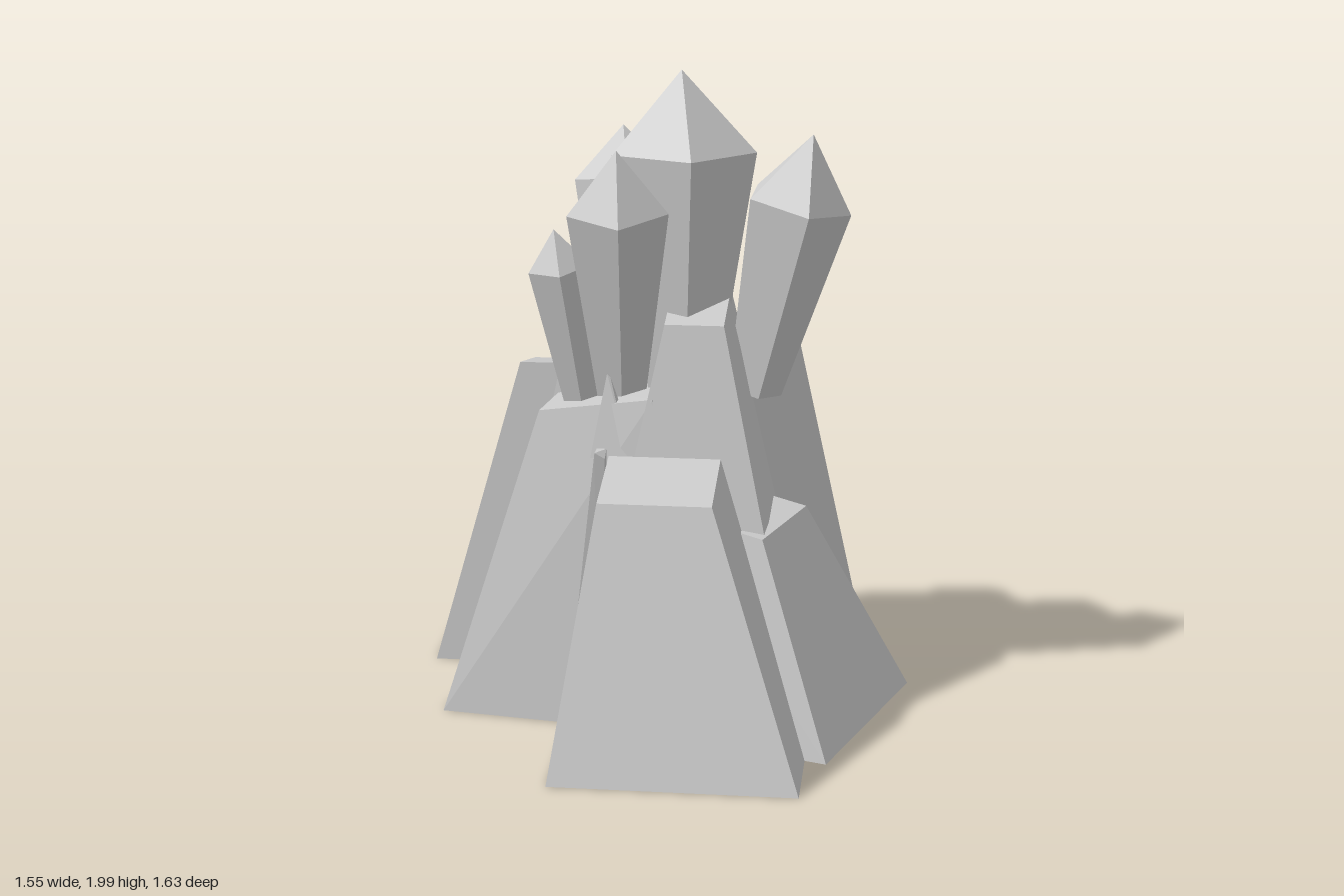
import * as THREE from 'three';
import { ConvexGeometry } from 'three/addons/geometries/ConvexGeometry.js';

const material = new THREE.MeshStandardMaterial({ color: 0xcccccc, flatShading: true });

// Tapered block: four ground corners [x, z] and four upper corners [x, y, z]
function taperedBlock(name, base, top, baseY = 0.01) {
  const points = [
    ...base.map(([x, z]) => new THREE.Vector3(x, baseY, z)),
    ...top.map((p) => new THREE.Vector3(...p)),
  ];
  const mesh = new THREE.Mesh(new ConvexGeometry(points), material);
  mesh.name = name;
  return mesh;
}

// Corners of an axis-aligned rectangle
const rect = (x0, x1, z0, z1) => [[x0, z0], [x1, z0], [x1, z1], [x0, z1]];

// Same rectangle as a top face, sloping from yBack to yFront
const slopedTop = (x0, x1, z0, z1, yBack, yFront) =>
  rect(x0, x1, z0, z1).map(([x, z]) => [x, z === z0 ? yBack : yFront, z]);

// Five-sided crystal leaning from its root to its tip, widest at the shoulder
function crystal(name, root, tip, rootRadius, radius, shoulder, startDeg) {
  const from = new THREE.Vector3(...root);
  const axis = new THREE.Vector3(...tip).sub(from);
  const length = axis.length();
  const profile = [
    [0, 0], [rootRadius, 0], [radius, length * shoulder], [0, length],
  ].map(([r, y]) => new THREE.Vector2(r, y));
  const geometry = new THREE.LatheGeometry(profile, 5, THREE.MathUtils.degToRad(90 - startDeg));
  const mesh = new THREE.Mesh(geometry, material);
  mesh.quaternion.setFromUnitVectors(new THREE.Vector3(0, 1, 0), axis.normalize());
  mesh.position.copy(from);
  mesh.name = name;
  return mesh;
}

export function createModel() {
  const model = new THREE.Group();
  model.name = 'crystalRock';

  // Large rocks
  const rocks = new THREE.Group();
  rocks.name = 'rocks';
  rocks.add(
    taperedBlock('frontRock', rect(-0.26, 0.48, 0.1, 0.815),
      slopedTop(-0.14, 0.2, 0.285, 0.56, 0.865, 0.8)),
    taperedBlock('backCornerRock', rect(-0.78, -0.04, -0.82, -0.18),
      slopedTop(-0.5, -0.155, -0.56, -0.26, 0.95, 1.01)),
    taperedBlock('centreRock', rect(-0.24, 0.48, -0.3, 0.47),
      slopedTop(0.02, 0.2, -0.04, 0.2, 1.32, 1.257)),
    taperedBlock('backRock', rect(-0.56, 0.36, -0.69, 0.12),
      slopedTop(-0.26, 0.08, -0.395, -0.12, 1.36, 1.42)),
    taperedBlock('sideRock',
      [[0.77, -0.135], [0.545, 0.56], [-0.065, 0.36], [0.16, -0.335]],
      [[0.445, 0.645, 0.02], [0.335, 0.645, 0.375], [0.02, 0.7, 0.27], [0.13, 0.7, -0.08]]),
    taperedBlock('backSideRock',
      [[0.045, -0.795], [0.635, -0.355], [0.275, 0.125], [-0.315, -0.315]],
      [[0.105, 1.16, -0.43], [0.395, 1.16, -0.21], [0.215, 1.19, 0.03], [-0.07, 1.19, -0.2]]),
    taperedBlock('frontSideRock',
      [[-0.67, 0.265], [0.06, 0.37], [0.13, -0.3], [-0.57, -0.38]],
      [[-0.37, 0.97, 0.17], [-0.01, 1.035, 0.25], [0.04, 1.03, -0.1], [-0.33, 0.97, -0.15]]),
  );
  model.add(rocks);

  // Thin splinters leaning on the rocks
  const splinters = new THREE.Group();
  splinters.name = 'splinters';
  splinters.add(
    taperedBlock('backSplinter',
      [[0.38, -0.655], [0.53, -0.545], [0.44, -0.42], [0.29, -0.53]],
      [[0.29, 0.9, -0.405], [0.345, 0.9, -0.35], [0.325, 0.91, -0.325], [0.27, 0.91, -0.38]], 0.02),
    taperedBlock('frontSplinter',
      [[-0.26, 0.46], [-0.16, 0.42], [-0.16, 0.3], [-0.26, 0.3]],
      [[-0.18, 0.88, 0.31], [-0.15, 0.86, 0.3], [-0.15, 0.88, 0.26], [-0.18, 0.88, 0.26]]),
    taperedBlock('shortSplinter', rect(-0.2, -0.08, 0.12, 0.26),
      [[-0.155, 1.1, 0.2], [-0.145, 1.09, 0.2], [-0.15, 1.09, 0.18]], 0.85),
    taperedBlock('tallSplinter', rect(-0.03, 0.06, -0.32, -0.2),
      slopedTop(0, 0.05, -0.26, -0.21, 1.585, 1.6), 1.2),
  );
  model.add(splinters);

  // Crystals growing out of the top
  const crystals = new THREE.Group();
  crystals.name = 'crystals';
  crystals.add(
    crystal('centreCrystal', [0.05, 1.0, 0], [0.05, 2.0, 0], 0.11, 0.232, 0.755, 5),
    crystal('sideCrystal', [0.27, 1.0, -0.05], [0.45, 1.81, 0], 0.09, 0.168, 0.74, 2),
    crystal('frontCrystal', [-0.13, 0.98, 0.05], [-0.12, 1.79, 0.235], 0.075, 0.16, 0.775, 10),
    crystal('smallCrystal', [-0.25, 0.96, 0.06], [-0.32, 1.535, 0.165], 0.055, 0.1, 0.8, 10),
    crystal('backCrystal', [-0.13, 1.05, -0.12], [-0.16, 1.79, -0.25], 0.09, 0.165, 0.775, 8),
  );
  model.add(crystals);
  return model;
}
